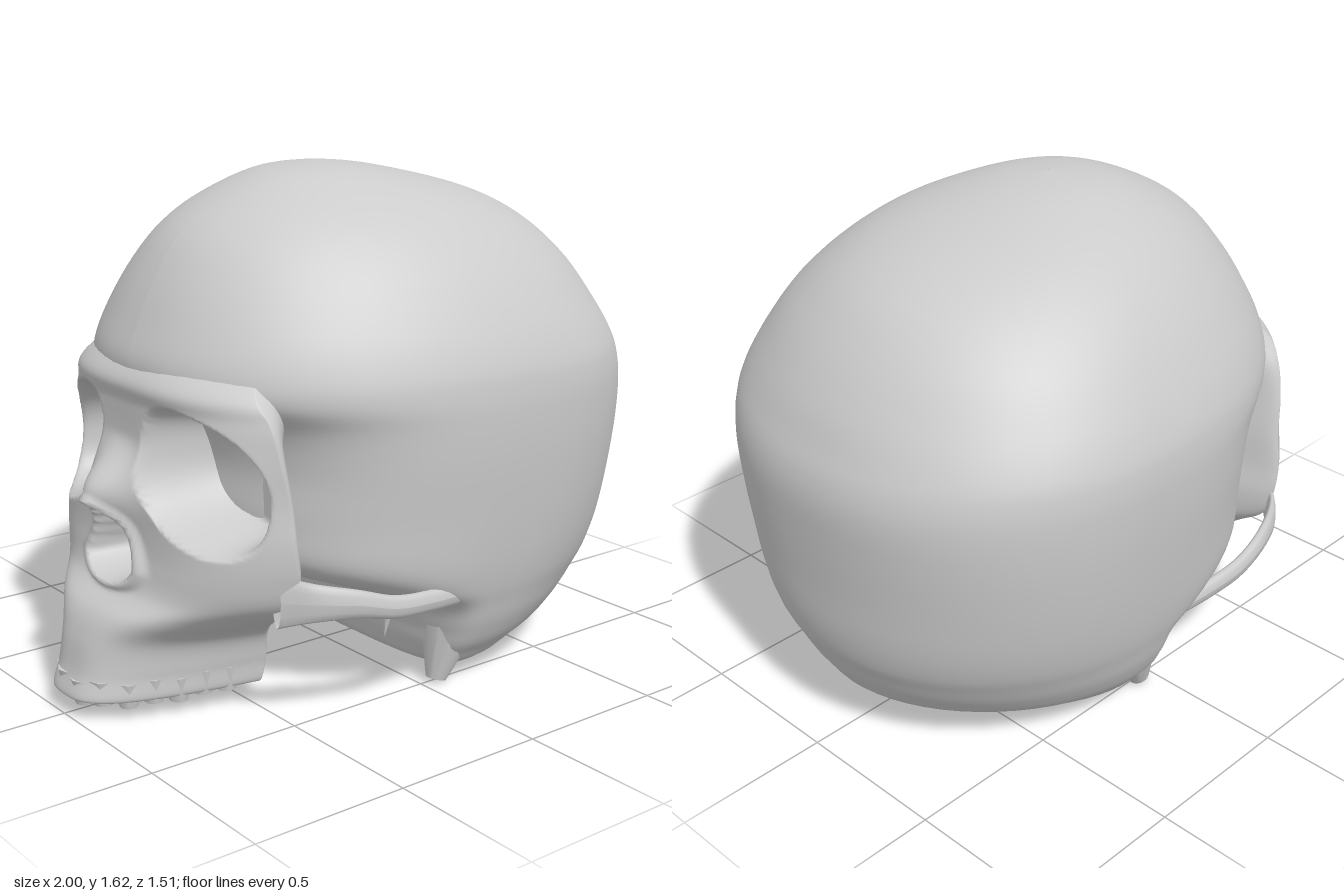
import * as THREE from 'three';
import { ParametricGeometry } from 'three/addons/geometries/ParametricGeometry.js';

const material = new THREE.MeshStandardMaterial({ color: 0xcccccc, side: THREE.DoubleSide });

// Smooth interpolation through a table of section rows, v from 0 to 1
function sampleRows(rows, v) {
  const f = Math.min(Math.max(v, 0), 1) * (rows.length - 1);
  const i = Math.min(Math.floor(f), rows.length - 2), t = f - i;
  const at = (k) => rows[Math.min(Math.max(k, 0), rows.length - 1)];
  return rows[i].map((b, c) => {
    const a = at(i - 1)[c], d = at(i + 1)[c], e = at(i + 2)[c];
    return b + 0.5 * t * (d - a + t * (2 * a - 5 * b + 4 * d - e + t * (3 * (b - d) + e - a)));
  });
}

const smooth = (x) => THREE.MathUtils.smoothstep(x, 0, 1);
const lerp = THREE.MathUtils.lerp;

function addMesh(parent, name, geometry) {
  const mesh = new THREE.Mesh(geometry, material);
  mesh.name = name;
  parent.add(mesh);
  return mesh;
}

function surface(parent, name, fn, slices, stacks) {
  const geometry = new ParametricGeometry(fn, slices, stacks);
  geometry.computeVertexNormals();
  return addMesh(parent, name, geometry);
}

// Braincase slices: y, front x, widest x, back x, half width, front and back squareness
const craniumRows = [
  [0.06, 0.24, 0.27, 0.30, 0.002, 2, 2],
  [0.04, 0.06, 0.17, 0.54, 0.47, 3.5, 1.8],
  [0.11, 0.01, 0.17, 0.79, 0.585, 4, 1.8],
  [0.20, -0.01, 0.19, 0.875, 0.64, 4, 1.9],
  [0.29, -0.06, 0.21, 0.92, 0.67, 4, 2],
  [0.36, -0.27, 0.23, 0.95, 0.69, 3.5, 2.05],
  [0.46, -0.51, 0.25, 0.97, 0.71, 2.8, 2.1],
  [0.60, -0.55, 0.27, 0.98, 0.73, 2.6, 2.15],
  [0.76, -0.55, 0.27, 0.992, 0.747, 2.6, 2.2],
  [0.89, -0.60, 0.27, 0.998, 0.754, 2.5, 2.2],
  [0.98, -0.72, 0.27, 0.985, 0.752, 2.3, 2.2],
  [1.06, -0.745, 0.26, 0.953, 0.738, 2.2, 2.2],
  [1.17, -0.705, 0.25, 0.90, 0.692, 2.2, 2.1],
  [1.31, -0.635, 0.2, 0.80, 0.607, 2.1, 2.1],
  [1.43, -0.545, 0.14, 0.67, 0.50, 2, 2],
  [1.52, -0.41, 0.08, 0.47, 0.37, 2, 2],
  [1.595, -0.23, -0.02, 0.16, 0.18, 2, 2],
  [1.617, -0.042, -0.04, -0.038, 0.001, 2, 2],
];

function craniumPoint(u, v, target) {
  const [y, front, mid, back, w, nFront, nBack] = sampleRows(craniumRows, v);
  const angle = u * Math.PI * 2, c = Math.cos(angle), s = Math.sin(angle);
  const n = c > 0 ? nFront : nBack;
  const reach = c > 0 ? mid - front : back - mid;
  target.set(
    mid - Math.sign(c) * reach * Math.abs(c) ** (2 / n),
    y,
    Math.sign(s) * w * Math.abs(s) ** (2 / n));
}

// Face slices: y, midline x, half width, edge x, curve power, rear x, rear z
const faceRows = [
  [0.20, -0.62, 0.05, -0.46, 2, -0.44, 0.01],
  [0.18, -0.82, 0.18, -0.46, 3, -0.44, 0.03],
  [0.08, -0.95, 0.24, -0.46, 3, -0.44, 0.20],
  [0.065, -1.0, 0.285, -0.47, 3, -0.44, 0.20],
  [0.14, -0.975, 0.30, -0.46, 3, -0.41, 0.15],
  [0.24, -0.95, 0.33, -0.48, 3, -0.36, 0.12],
  [0.32, -0.91, 0.44, -0.53, 3, -0.32, 0.14],
  [0.39, -0.83, 0.54, -0.54, 3.5, -0.34, 0.22],
  [0.48, -0.80, 0.575, -0.54, 4, -0.41, 0.38],
  [0.58, -0.79, 0.58, -0.55, 4, -0.45, 0.42],
  [0.70, -0.79, 0.565, -0.555, 4, -0.46, 0.42],
  [0.83, -0.77, 0.55, -0.575, 3.5, -0.47, 0.42],
  [0.94, -0.765, 0.52, -0.59, 3, -0.47, 0.45],
  [1.02, -0.765, 0.46, -0.60, 3, -0.47, 0.45],
  [1.14, -0.64, 0.34, -0.50, 2.5, -0.40, 0.30],
];

function facePoint(u, v, target) {
  const [y, front, w, edge, power, rearX, rearZ] = sampleRows(faceRows, v);
  const s = u * 2 - 1, a = Math.abs(s), turn = 0.84;
  let x, z;
  if (a <= turn) {
    const t = 1 - (1 - a / turn) ** 1.4;
    z = w * t;
    x = front + (edge - front) * t ** power;
    // Eye socket
    const d = (Math.abs(z - 0.325) / 0.212) ** 2.6 + (Math.abs(y - 0.755 + (z - 0.325) * 0.3) / 0.19) ** 2.6;
    x = lerp(x, Math.max(x, -0.5), smooth((1 - d) / 0.6));
    // Nasal bridge
    const rise = y > 0.68 ? 1 - smooth((y - 0.68) / 0.17) : smooth((y - 0.52) / 0.16);
    x -= 0.11 * rise * Math.exp(-((z / 0.095) ** 2));
    // Pear-shaped nasal opening and its raised margin
    const halfWidth = lerp(0.13, 0.05, THREE.MathUtils.clamp((y - 0.45) / 0.2, 0, 1));
    const e = (z / halfWidth) ** 2 + (Math.abs(y - 0.525) / 0.125) ** 4;
    x -= 0.025 * Math.exp(-((e - 1.3) ** 2) * 3);
    if (v > 0.35) x = lerp(x, -0.62, smooth((1 - e) / 0.4));
  } else {
    // Wall behind the outer rim
    const k = (a - turn) / (1 - turn);
    x = lerp(edge, rearX, k);
    z = lerp(w, rearZ, smooth(k));
  }
  target.set(x, y, Math.sign(s) * z);
}

// Flattened bar along a curve, tallest at its front end
function archPoint(side) {
  const path = new THREE.CatmullRomCurve3([
    [-0.58, 0.42, 0.525], [-0.5, 0.42, 0.60], [-0.38, 0.405, 0.65],
    [-0.25, 0.37, 0.665], [-0.1, 0.355, 0.66], [0.08, 0.34, 0.635],
  ].map((p) => new THREE.Vector3(...p)));
  return (u, v, target) => {
    const angle = side * u * Math.PI * 2;
    path.getPoint(Math.min(Math.max(v, 0), 1), target);
    target.y += Math.sin(angle) * (0.034 + 0.05 * (1 - v) ** 3);
    target.z += Math.cos(angle) * 0.02;
    target.z *= side;
  };
}

export function createModel() {
  const skull = new THREE.Group();
  skull.name = 'skull';

  surface(skull, 'cranium', craniumPoint, 72, 90);
  surface(skull, 'face', facePoint, 128, 140);

  // Upper teeth spaced along the dental arch
  const teeth = new THREE.Group();
  teeth.name = 'upperTeeth';
  skull.add(teeth);
  const arch = new THREE.CatmullRomCurve3([-1, -0.93, -0.8, -0.55, -0.28, 0, 0.28, 0.55, 0.8, 0.93, 1].map(
    (t) => new THREE.Vector3(-0.96 + 0.47 * Math.abs(t) ** 3, 0, 0.255 * t)));
  const count = 16;
  arch.getSpacedPoints(count - 1).forEach((p, i) => {
    const back = Math.abs(i - (count - 1) / 2) / (count / 2);
    const tooth = addMesh(teeth, 'tooth', new THREE.CylinderGeometry(0.045, 0.026 + 0.008 * back, 0.08, 7));
    const tangent = arch.getTangentAt(i / (count - 1));
    tooth.position.set(p.x, 0.078 + 0.03 * back ** 4 + 0.008 * (i % 2), p.z);
    tooth.rotation.y = Math.atan2(-tangent.z, tangent.x);
    tooth.scale.z = 0.7 + 0.2 * back;
  });

  for (const side of [1, -1]) {
    const label = side > 0 ? 'left' : 'right';
    surface(skull, label + 'CheekArch', archPoint(side), 12, 32);

    // Bony point behind the ear
    const mastoid = addMesh(skull, label + 'Mastoid', new THREE.CylinderGeometry(0.12, 0.035, 0.24, 12));
    mastoid.rotation.z = -0.3;
    mastoid.position.set(0.09, 0.125, side * 0.51);
    mastoid.scale.z = 0.9;

    // Thin spine under the skull base
    const spine = addMesh(skull, label + 'Spine', new THREE.ConeGeometry(0.04, 0.2, 6));
    spine.rotation.set(Math.PI, 0, 0.15);
    spine.position.set(-0.02, 0.22, side * 0.36);

    // Plate joining the upper jaw to the skull base
    const plate = addMesh(skull, label + 'PalatePlate', new THREE.BoxGeometry(0.1, 0.26, 0.025));
    plate.position.set(-0.36, 0.32, side * 0.14);
    plate.rotation.z = -0.4;
  }
  return skull;
}
